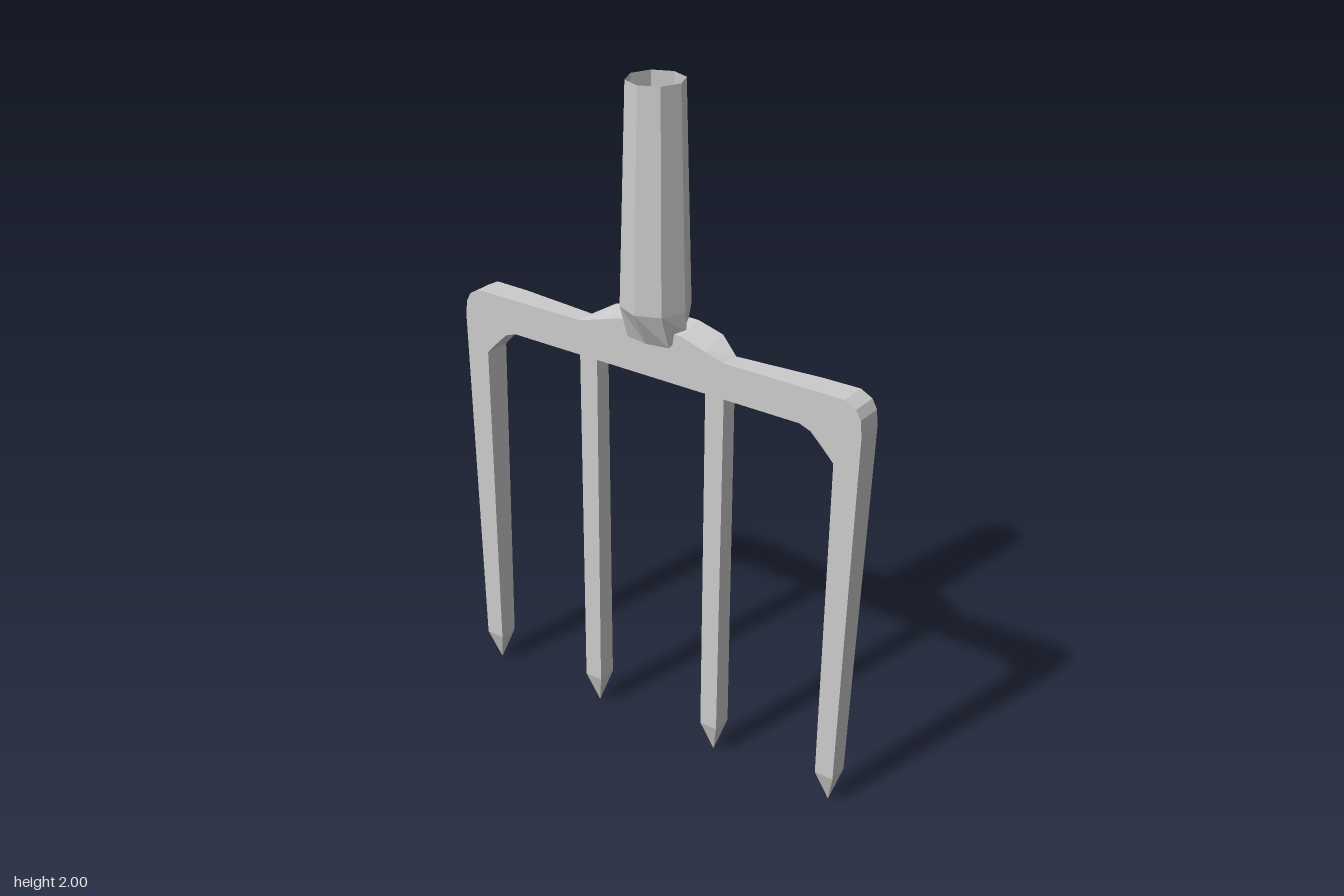
import * as THREE from 'three';

// Skins a list of equal-length rings of [x, y, z] points with flat faces.
function loft(rings, material, name) {
  const pos = [];
  const tri = (...p) => {
    const [a, b, c] = p.map((v) => new THREE.Vector3(...v));
    if (b.sub(a).cross(c.sub(a)).length() > 1e-9) pos.push(...p.flat());
  };
  for (let i = 0; i < rings.length - 1; i++) {
    const n = rings[i].length;
    for (let j = 0; j < n; j++) {
      const k = (j + 1) % n;
      const a = rings[i][j], b = rings[i][k], c = rings[i + 1][k], d = rings[i + 1][j];
      tri(a, d, c);
      tri(a, c, b);
    }
  }
  const geo = new THREE.BufferGeometry();
  geo.setAttribute('position', new THREE.Float32BufferAttribute(pos, 3));
  geo.computeVertexNormals();
  const mesh = new THREE.Mesh(geo, material);
  mesh.name = name;
  return mesh;
}

export function createModel() {
  const group = new THREE.Group();
  group.name = 'forkHead';
  const metal = new THREE.MeshStandardMaterial({
    color: 0xcccccc, flatShading: true, side: THREE.DoubleSide,
  });
  const front = 0.027;

  // Crossbar and outer tines: one bent bar, listed from the centre to the tip.
  // outer x, outer y (front), outer y (back), inner x, inner y, front z, back z
  const half = [
    [0.10, 1.322, 1.338, 0.10, 1.175, front, -0.06],
    [0.18, 1.298, 1.316, 0.18, 1.175, front, -0.06],
    [0.243, 1.28, 1.28, 0.243, 1.175, front, -0.03],
    [0.50, 1.28, 1.28, 0.48, 1.175, front, -0.053],
    [0.61, 1.28, 1.28, 0.515, 1.162, front, -0.055],
    [0.645, 1.262, 1.262, 0.55, 1.128, front, -0.055],
    [0.66, 1.235, 1.235, 0.587, 1.09, front, -0.055],
    [0.665, 1.19, 1.19, 0.587, 1.085, front, -0.054],
    [0.638, 0.1, 0.1, 0.58, 0.1, 0.03, -0.03],
    [0.61, 0, 0, 0.61, 0, 0, 0],
  ];
  const section = (s) => ([ox, yf, yb, ix, iy, zf, zb]) => [
    [s * ox, yf, zf], [s * ox, yb, zb], [s * ix, iy, zb], [s * ix, iy, zf],
  ];
  group.add(loft(
    [...half.map(section(-1)).reverse(), ...half.map(section(1))],
    metal, 'crossbarAndOuterTines',
  ));

  // Inner tines: straight square bars with pointed ends.
  for (const s of [-1, 1]) {
    const ring = (y, w, d) => [
      [s * 0.213 + w, y, d], [s * 0.213 + w, y, -d],
      [s * 0.213 - w, y, -d], [s * 0.213 - w, y, d],
    ];
    group.add(loft(
      [ring(1.2, 0.03, 0.026), ring(0.1, 0.028, 0.03), ring(0, 0, 0)],
      metal, s > 0 ? 'leftInnerTine' : 'rightInnerTine',
    ));
  }

  // Handle socket: open tapered octagon, pinched front to back at the bar.
  const octagon = (r, y) => Array.from({ length: 8 }, (_, i) => {
    const a = (i * Math.PI) / 4;
    return [r * Math.sin(a), y, r * Math.cos(a)];
  });
  const pinched = octagon(0.098, 1.28).map(([x, , z]) => [
    x,
    z > 0.01 ? 1.28 : z < -0.01 ? 1.315 : 1.325,
    z > 0.01 ? 0.035 + (z - 0.07) * 0.4 : z < -0.01 ? -0.05 : -0.005,
  ]);
  group.add(loft([octagon(0.08, 2), octagon(0.098, 1.38), pinched], metal, 'handleSocket'));

  return group;
}
